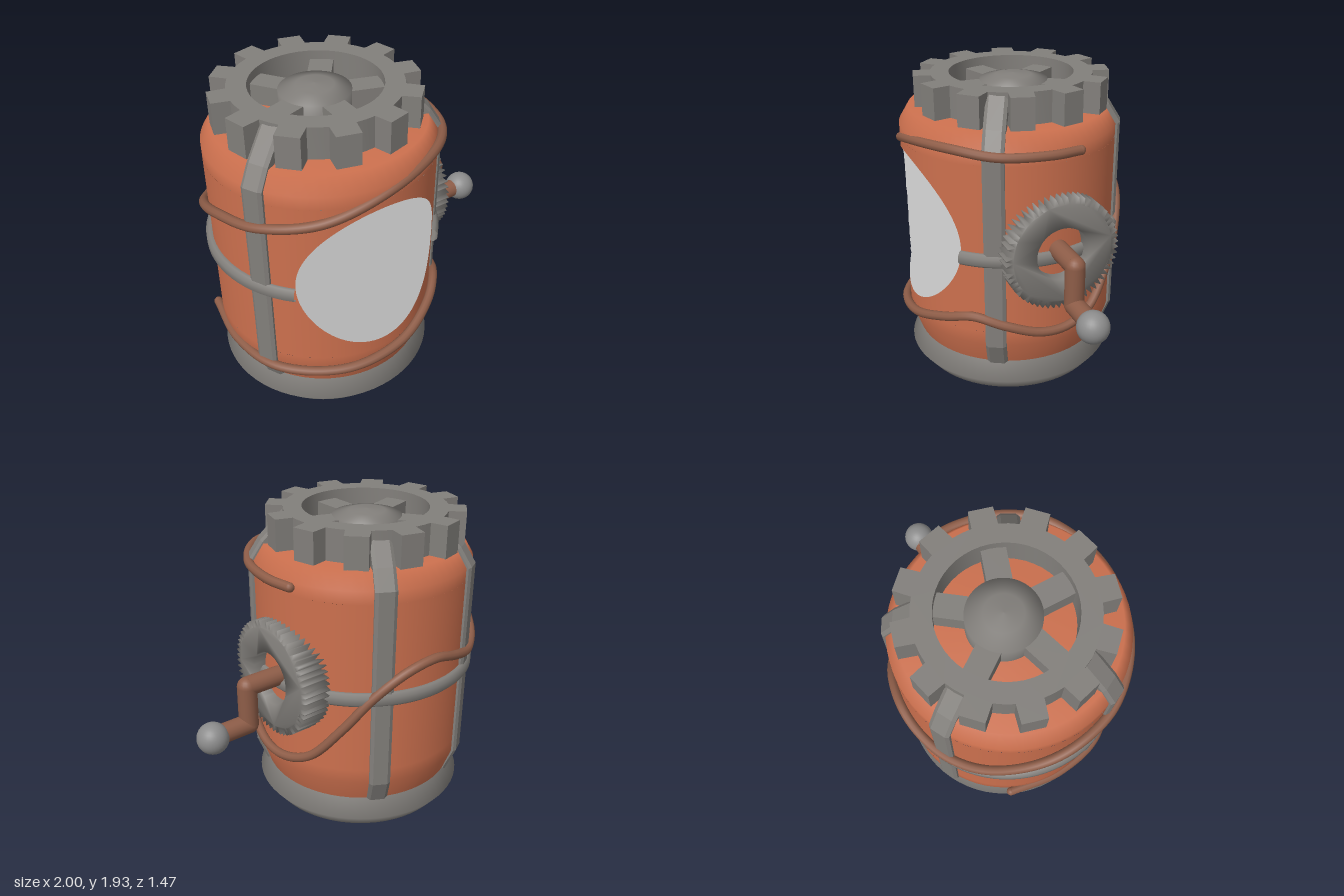
import * as THREE from 'three';
import { toCreasedNormals } from 'three/addons/utils/BufferGeometryUtils.js';

const R = 0.68, CX = -0.265;            // body radius and axis
const HOLE = { y: 1.015, rx: 0.475, ry: 0.49, segments: 96 };

const mat = (name, color, side = THREE.FrontSide) => {
  const m = new THREE.MeshStandardMaterial({ color, side });
  m.name = name;
  return m;
};
const v2 = (pts) => pts.map(([x, y]) => new THREE.Vector2(x, y));

// Toothed ring outline with a round hole
function gearGeometry(n, root, tip, inner, depth, baseW, tipW, crease) {
  const pts = [];
  for (let i = 0; i < n; i++) {
    const step = (Math.PI * 2) / n, a = (i + 0.5) * step;
    const at = (r, t) => pts.push(new THREE.Vector2(r * Math.cos(a + t * step), r * Math.sin(a + t * step)));
    at(root, -0.5);
    at(root, -baseW); at(tip, -tipW); at(tip, tipW); at(root, baseW);
  }
  const shape = new THREE.Shape(pts);
  shape.holes.push(new THREE.Path().absarc(0, 0, inner, 0, Math.PI * 2, true));
  const g = new THREE.ExtrudeGeometry(shape, { depth, bevelEnabled: false, curveSegments: 24 });
  return toCreasedNormals(g, crease);
}

// Curved front wall between the round window and a rectangular border
function frontPanel(halfAngle, y0, y1) {
  const g = new THREE.PlaneGeometry(1, 1, HOLE.segments, 8);
  const p = g.attributes.position, nrm = g.attributes.normal;
  for (let i = 0; i < p.count; i++) {
    const th = (p.getX(i) + 0.5) * Math.PI * 2, t = p.getY(i) + 0.5;
    const c = Math.cos(th), s = Math.sin(th), m = Math.max(Math.abs(c), Math.abs(s));
    const a = THREE.MathUtils.lerp(Math.asin((HOLE.rx * c) / R), (c / m) * halfAngle, t);
    const y = THREE.MathUtils.lerp(HOLE.y + HOLE.ry * s, (y0 + y1) / 2 + ((s / m) * (y1 - y0)) / 2, t);
    p.setXYZ(i, R * Math.sin(a), y, R * Math.cos(a));
    nrm.setXYZ(i, Math.sin(a), 0, Math.cos(a));
  }
  // border runs clockwise as seen from outside, so reverse the faces
  const idx = g.index;
  for (let i = 0; i < idx.count; i += 3) {
    const k = idx.getX(i);
    idx.setX(i, idx.getX(i + 1));
    idx.setX(i + 1, k);
  }
  return g;
}

// Window pane stretched across the rim of the opening
function paneGeometry() {
  const g = new THREE.RingGeometry(0.001, 1, HOLE.segments, 12);
  const p = g.attributes.position;
  const zAt = (x) => Math.sqrt(R * R - x * x);
  for (let i = 0; i < p.count; i++) {
    const x = p.getX(i) * HOLE.rx, dy = p.getY(i);
    let z = zAt(0.29);
    if (Math.abs(x) > 0.29) z = zAt(x);
    else if (Math.abs(dy) > 0.79) z = zAt(HOLE.rx * Math.sqrt(Math.max(0, 1 - dy * dy)));
    p.setXYZ(i, x, HOLE.y + dy * HOLE.ry, z);
  }
  return g;                              // keeps its forward-facing normals
}

export function createModel() {
  const orange = mat('orange shell', 0xcc704e, THREE.DoubleSide);
  const steel = mat('grey metal', 0x827f7b, THREE.DoubleSide);
  const copper = mat('brown copper', 0x8e5d48);
  const knobGrey = mat('knob grey', 0x8c8c8c);
  const glass = mat('pale glass', 0xe7e7e7);
  const black = mat('black lining', 0x050505, THREE.BackSide);

  const model = new THREE.Group();
  model.name = 'crankLantern';
  const body = new THREE.Group();
  body.name = 'body';
  body.position.x = CX;
  model.add(body);
  const add = (parent, name, geo, m, x = 0, y = 0, z = 0) => {
    const mesh = new THREE.Mesh(geo, m);
    mesh.name = name;
    mesh.position.set(x, y, z);
    parent.add(mesh);
    return mesh;
  };
  const lathe = (pts, start = 0, len = Math.PI * 2) => new THREE.LatheGeometry(v2(pts), 64, start, len);

  // Shell, with softly shaded foot and shoulder
  const half = Math.PI / 3, y0 = 0.46, y1 = 1.56;
  add(body, 'shellFront', frontPanel(half, y0, y1), orange);
  add(body, 'shellWall', lathe([[R, y0], [R, y1]], half, Math.PI * 2 - 2 * half), orange);
  add(body, 'shellFoot', lathe([[0.62, 0.2], [R, 0.37], [R, y0]]), orange);
  add(body, 'shellTop', lathe([[R, y1], [R, 1.64], [0.62, 1.74], [0, 1.741]]), orange);

  // Window, pale outside and black inside
  const pane = paneGeometry();
  add(body, 'windowPane', pane, glass);
  add(body, 'windowLining', pane, black);

  // Base ring, open underneath
  add(body, 'baseRing', lathe([[0.61, 0], [R, 0.09], [0.62, 0.228]]), steel);

  // Middle band, broken by the window
  const gap = Math.asin(HOLE.rx / R);
  add(body, 'middleBand', lathe(
    [[0.682, 0.925], [0.7, 0.925], [0.72, 0.945], [0.72, 0.99], [0.7, 1.01], [0.682, 1.01]],
    gap, Math.PI * 2 - 2 * gap), steel);

  // Upright straps bending in to the top gear
  const strapShape = new THREE.Shape(v2([
    [0.63, 0.22], [0.69, 0.37], [0.69, 1.64], [0.62, 1.75], [0.48, 1.9],
    [0.43, 1.87], [0.57, 1.73], [0.66, 1.62], [0.66, 0.38], [0.6, 0.22]]));
  const strapGeo = new THREE.ExtrudeGeometry(strapShape,
    { depth: 0.09, bevelSize: 0.014, bevelThickness: 0.02, bevelSegments: 1 }).translate(0, 0, -0.045);
  for (const deg of [28, 152, 241, 299]) {
    add(body, 'strap', strapGeo, steel).rotation.y = -THREE.MathUtils.degToRad(deg);
  }

  // Top gear with spokes and domed hub
  const top = new THREE.Group();
  top.name = 'topGear';
  top.position.set(0, 1.738, -0.025);
  body.add(top);
  add(top, 'gearRing', gearGeometry(12, 0.5, 0.605, 0.385, 0.195, 0.28, 0.22, 0.5).rotateX(-Math.PI / 2), steel);
  const spokeGeo = new THREE.BoxGeometry(0.24, 0.12, 0.14).translate(0.29, 0.08, 0);
  for (let i = 0; i < 5; i++) {
    add(top, 'spoke', spokeGeo, steel).rotation.y = -Math.PI / 2 + (i * Math.PI * 2) / 5;
  }
  add(top, 'hub', lathe([[0.21, 0], [0.21, 0.145], [0.11, 0.17], [0, 0.18]]), steel, 0, 0, -0.015);

  // Fine-toothed side gear, softly shaded so its face looks pleated
  const CY = 1.012, CZ = -0.055;
  add(model, 'sideGear', gearGeometry(60, 0.318, 0.362, 0.168, 0.18, 0.45, 0.07, Math.PI).rotateY(Math.PI / 2),
    steel, 0.31, CY, CZ);

  // Crank handle
  const crank = new THREE.Group();
  crank.name = 'crank';
  model.add(crank);
  const path = [[0.36, CY], [0.65, CY], [0.65, 0.757], [0.9, 0.757]].map(([x, y]) => new THREE.Vector3(x, y, CZ));
  for (let i = 0; i < 3; i++) {
    const a = path[i], b = path[i + 1];
    const rod = add(crank, 'crankRod', new THREE.CylinderGeometry(0.06, 0.06, a.distanceTo(b), 20), copper);
    rod.position.lerpVectors(a, b, 0.5);
    if (a.y === b.y) rod.rotation.z = Math.PI / 2;
    if (i) add(crank, 'crankElbow', new THREE.SphereGeometry(0.06, 20, 12), copper, a.x, a.y, a.z);
  }
  add(crank, 'crankKnob', new THREE.SphereGeometry(0.097, 28, 18), knobGrey, 0.9, 0.752, CZ);

  // Copper pipe winding round the shell: [degrees, height, radius]
  const wind = [[-15, 1.62], [0, 1.622], [25, 1.625], [50, 1.645, 0.69], [85, 1.6, 0.67], [120, 1.48, 0.69],
    [150, 1.41], [175, 1.36], [195, 1.27], [220, 1.13], [240, 1.09], [258, 1.14], [272, 1.18], [288, 1.13],
    [304, 0.98], [318, 0.77], [335, 0.54], [350, 0.468], [365, 0.468], [383, 0.53], [399, 0.58], [415, 0.53],
    [440, 0.44], [470, 0.385], [505, 0.368], [535, 0.368, 0.68], [565, 0.38]];
  const pts = wind.map(([d, y, r = 0.707]) => {
    const a = THREE.MathUtils.degToRad(d);
    return new THREE.Vector3(r * Math.cos(a), y, r * Math.sin(a));
  });
  add(body, 'windingPipe', new THREE.TubeGeometry(new THREE.CatmullRomCurve3(pts), 220, 0.029, 10), copper);
  for (const p of [pts[0], pts[pts.length - 1]]) {
    add(body, 'pipeEnd', new THREE.SphereGeometry(0.029, 10, 8), copper, p.x, p.y, p.z);
  }
  return model;
}
